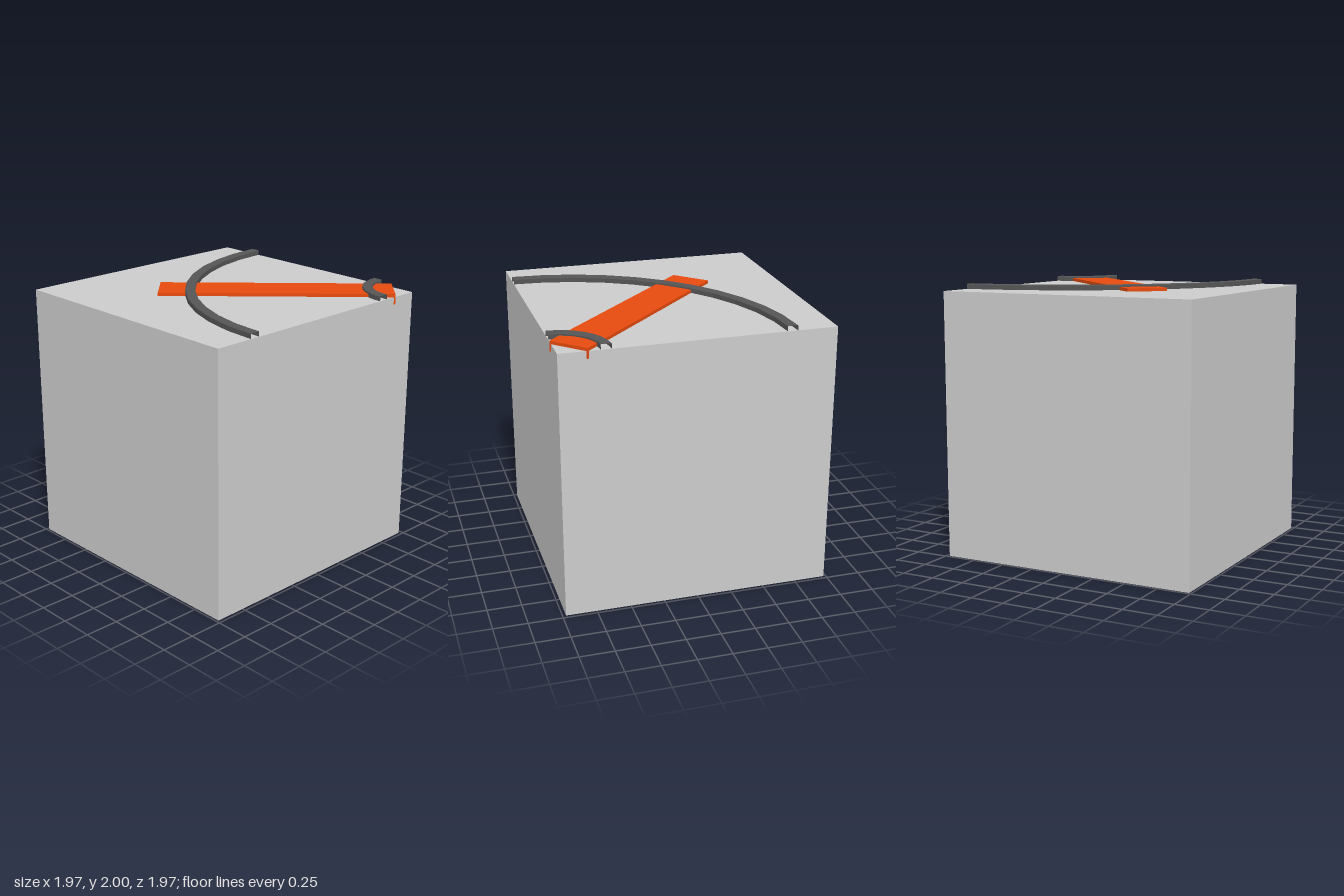
import * as THREE from 'three';

const TOP = 1.962;          // height of the block's upper face
const CORNER = 0.975;       // block corner the rails curve around
const SIZE = 1.958;

const material = (color, side = THREE.FrontSide) =>
  new THREE.MeshStandardMaterial({ color, flatShading: true, side });

function box(name, w, h, d, mat, x, y, z) {
  const mesh = new THREE.Mesh(new THREE.BoxGeometry(w, h, d), mat);
  mesh.name = name;
  mesh.position.set(x, y, z);
  return mesh;
}

// Quarter-circle channel, open underneath and at both ends
function curvedRail(name, inner, outer, mat) {
  const h = 2 - TOP, c = 0.004;
  const profile = [
    [outer, 0], [outer, h - c], [outer - c, h],
    [inner + c, h], [inner, h - c], [inner, 0],
  ].map(([r, y]) => new THREE.Vector2(r, y));
  const rail = new THREE.Mesh(
    new THREE.LatheGeometry(profile, 11, -Math.PI / 2, Math.PI / 2), mat);
  rail.name = name;
  rail.position.set(CORNER, TOP, -CORNER);
  return rail;
}

export function createModel() {
  const model = new THREE.Group();
  model.name = 'blockWithCurvedRails';
  const grey = material(0xcccccc);
  const orange = material(0xe64b0f);
  const dark = material(0x555555, THREE.DoubleSide);

  // Main block
  const mid = CORNER - SIZE / 2;
  model.add(box('block', SIZE, TOP, SIZE, grey, mid, TOP / 2, -mid));

  // Concentric rails around the back left corner
  model.add(curvedRail('largeRail', 1.59, 1.665, dark));
  model.add(curvedRail('smallRail', 0.29, 0.365, dark));

  // Diagonal slat with a lip at its corner end, whose edges poke out of the block
  const slat = new THREE.Group();
  slat.name = 'diagonalSlat';
  const length = 1.72, width = 0.297, lip = 0.015, top = 1.985;
  slat.add(box('slatBoard', length, top - TOP, width, orange, 0, (top + TOP) / 2, 0));
  slat.add(box('slatLip', lip, TOP - 1.91, width, orange,
    length / 2 - lip / 2, (TOP + 1.91) / 2, 0));
  slat.position.set(0.27, 0, -0.27);
  slat.rotation.y = Math.PI / 4;
  model.add(slat);

  return model;
}
